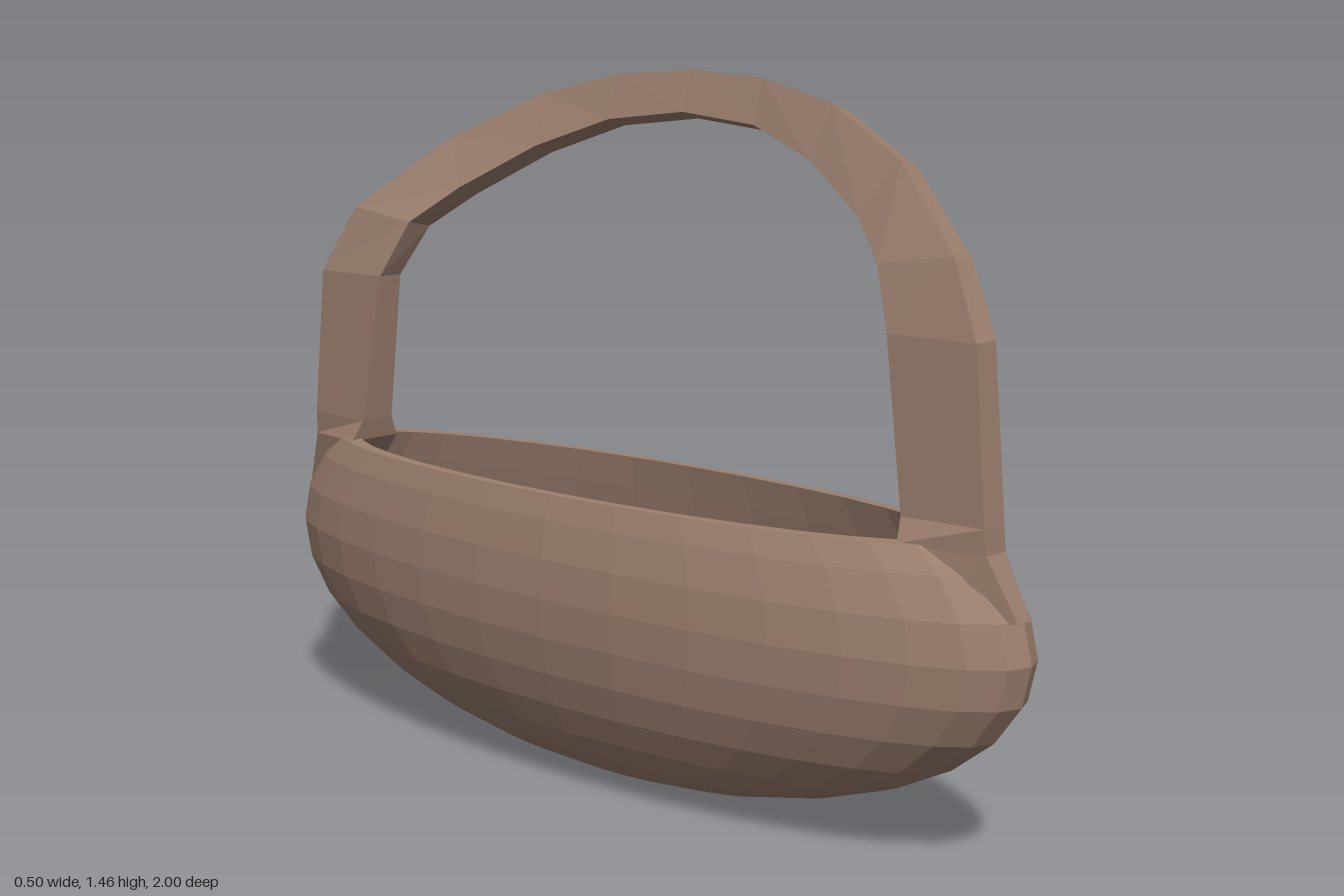
import * as THREE from 'three';

const material = new THREE.MeshStandardMaterial({
  color: 0x9c7f6e, flatShading: true, side: THREE.DoubleSide,
});

// Skin a list of closed cross-sections, each an array of [x, y, z] points
function loft(name, sections) {
  const n = sections[0].length;
  const index = [];
  for (let s = 0; s < sections.length - 1; s++) {
    for (let i = 0; i < n; i++) {
      const j = (i + 1) % n;
      const a = s * n + i, b = s * n + j, c = a + n, d = b + n;
      index.push(a, b, d, a, d, c);
    }
  }
  const geometry = new THREE.BufferGeometry();
  geometry.setAttribute('position', new THREE.Float32BufferAttribute(sections.flat(2), 3));
  geometry.setIndex(index);
  geometry.computeVertexNormals();
  const mesh = new THREE.Mesh(geometry, material);
  mesh.name = name;
  return mesh;
}

// Horizontal ellipse, counterclockwise seen from above
function ellipse(rx, rz, y) {
  return Array.from({ length: 32 }, (_, i) => {
    const t = (i / 32) * Math.PI * 2;
    return [rx * Math.cos(t), y, -rz * Math.sin(t)];
  });
}

// Hollow bowl: outer half-ellipsoid up to the rim, then back down inside
function createBowl() {
  const latitudes = [-90];
  for (let k = -7; k <= 2; k++) latitudes.push(k * 11.25);
  latitudes.push(30);
  const rings = (rx, rz, depth) => latitudes.map((deg) => {
    const a = THREE.MathUtils.degToRad(deg);
    return ellipse(rx * Math.cos(a), rz * Math.cos(a), 0.42 + depth * Math.sin(a));
  });
  const outer = rings(0.25, 1, 0.415);
  const inner = rings(0.225, 0.92, 0.36).reverse();
  inner[0] = ellipse(0.195, 0.8, 0.628); // inner lip level with the rim
  return loft('bowl', [...outer, ...inner]);
}

// Bent arch handle, described from one foot to the crown, then mirrored
function createHandle() {
  // outer z, y, x, half width; inner z, y, x, half width; sideways tilt
  const half = [
    [0.985, 0.50, -0.005, 0.02, 0.86, 0.50, -0.01, 0.06, 0],
    [0.93, 0.62, -0.02, 0.03, 0.76, 0.625, -0.022, 0.066, 0],
    [0.926, 0.67, -0.022, 0.032, 0.75, 0.67, -0.022, 0.042, 0],
    [0.897, 1.00, -0.02, 0.03, 0.70, 1.00, -0.02, 0.03, 0],
    [0.82, 1.14, 0.015, 0.03, 0.645, 1.115, 0.02, 0.03, 0.2],
    [0.62, 1.295, 0.12, 0.027, 0.55, 1.19, 0.08, 0.027, 0.3],
    [0.40, 1.395, 0.186, 0.026, 0.38, 1.285, 0.146, 0.026, 0.3],
    [0.20, 1.44, 0.215, 0.025, 0.20, 1.347, 0.187, 0.025, 0.3],
    [0, 1.453, 0.225, 0.025, 0, 1.367, 0.198, 0.025, 0.3],
  ];
  const section = (p, side) => {
    const [oz, oy, ox, ow, iz, iy, ix, iw, tilt] = p;
    return [
      [ox - ow, oy + ow * tilt, oz * side],
      [ox + ow, oy - ow * tilt, oz * side],
      [ix + iw, iy - iw * tilt, iz * side],
      [ix - iw, iy + iw * tilt, iz * side],
    ];
  };
  const front = half.map((p) => section(p, 1));
  const back = half.slice(0, -1).reverse().map((p) => section(p, -1));
  return loft('handle', [...front, ...back]);
}

export function createModel() {
  const group = new THREE.Group();
  group.name = 'basket';
  group.add(createBowl(), createHandle());
  return group;
}
